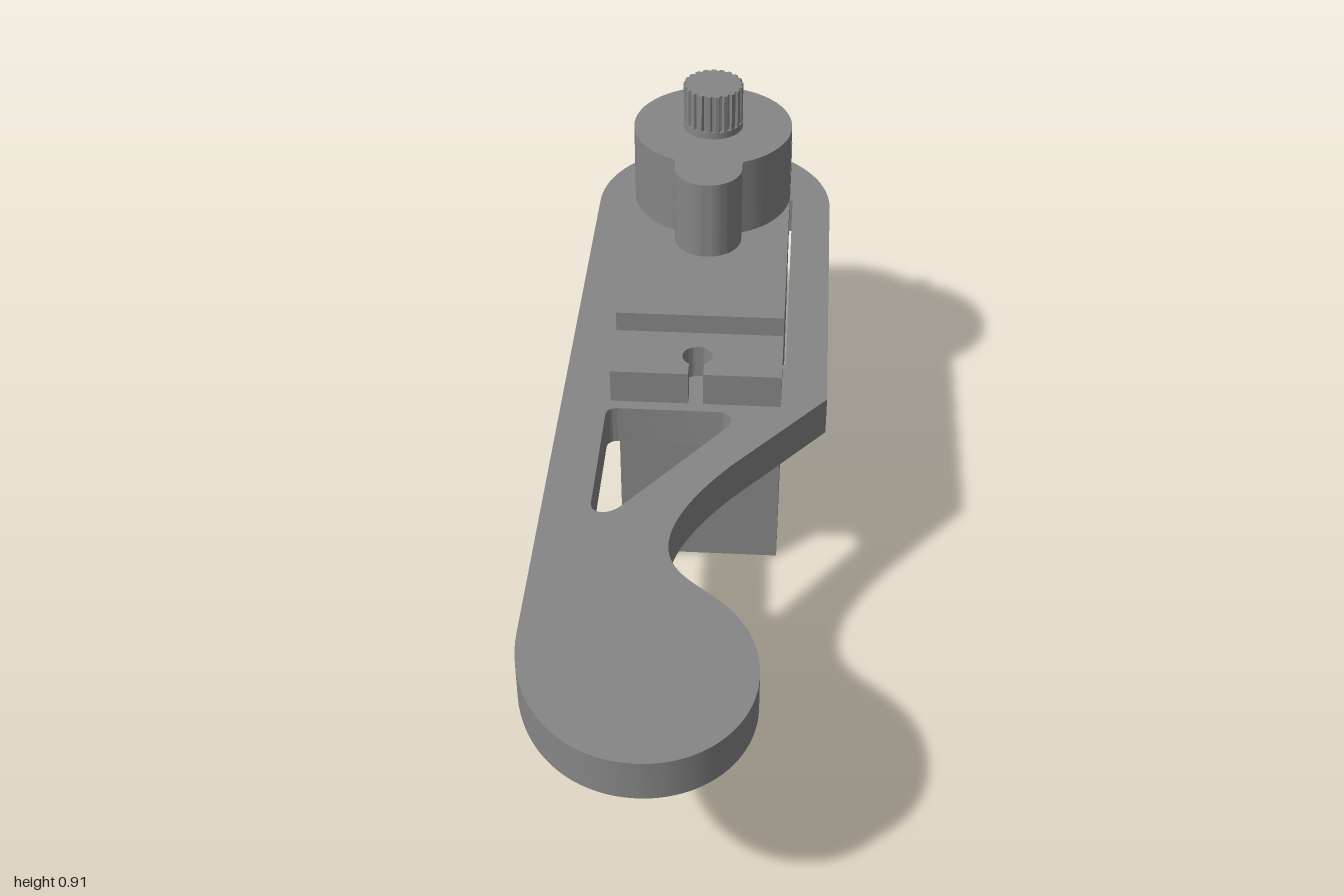
import * as THREE from 'three';
import { toCreasedNormals } from 'three/addons/utils/BufferGeometryUtils.js';

const material = new THREE.MeshStandardMaterial({ color: 0x868686 });

function addMesh(parent, name, geometry) {
  const mesh = new THREE.Mesh(geometry, material);
  mesh.name = name;
  parent.add(mesh);
  return mesh;
}

// Box given by its limits on each axis
function box(x0, x1, y0, y1, z0, z1) {
  return new THREE.BoxGeometry(x1 - x0, y1 - y0, z1 - z0)
    .translate((x0 + x1) / 2, (y0 + y1) / 2, (z0 + z1) / 2);
}

// Upright plate from an outline drawn in (x, z)
function plate(shape, y0, y1, crease = 0.5) {
  const g = new THREE.ExtrudeGeometry(shape, { depth: y1 - y0, bevelEnabled: false, curveSegments: 24 });
  g.rotateX(Math.PI / 2).translate(0, y1, 0);
  return toCreasedNormals(g, crease);
}

// Mounting arm: round back, straight left edge, narrow waist and bulb at the front
function armShape() {
  const s = new THREE.Shape();
  s.absarc(0, -0.692, 0.263, Math.PI, Math.PI * 2, false);
  s.lineTo(0.263, 0.03);
  s.lineTo(0.085, 0.245);
  s.bezierCurveTo(0.02, 0.33, -0.02, 0.41, -0.02, 0.475);
  s.bezierCurveTo(-0.02, 0.56, 0.055, 0.585, 0.1, 0.64);
  s.bezierCurveTo(0.138, 0.685, 0.157, 0.735, 0.157, 0.795);
  s.bezierCurveTo(0.157, 0.91, 0.075, 1, -0.035, 1);
  s.bezierCurveTo(-0.17, 1, -0.263, 0.87, -0.263, 0.72);
  s.closePath();

  // Cutout for the motor case with a rounded cable notch at the back
  const cut = new THREE.Path();
  cut.moveTo(-0.167, -0.08);
  cut.lineTo(0.178, -0.08);
  cut.lineTo(0.178, -0.717);
  cut.lineTo(0.065, -0.717);
  cut.bezierCurveTo(0.065, -0.75, 0.05, -0.772, 0.025, -0.772);
  cut.lineTo(-0.025, -0.772);
  cut.bezierCurveTo(-0.05, -0.772, -0.065, -0.75, -0.065, -0.717);
  cut.lineTo(-0.167, -0.717);
  cut.closePath();

  // Rounded triangular window
  const tri = new THREE.Path();
  tri.moveTo(-0.148, 0.084);
  tri.lineTo(0.05, 0.084);
  tri.bezierCurveTo(0.074, 0.084, 0.082, 0.11, 0.07, 0.13);
  tri.lineTo(-0.113, 0.374);
  tri.bezierCurveTo(-0.137, 0.407, -0.172, 0.402, -0.172, 0.372);
  tri.lineTo(-0.172, 0.108);
  tri.quadraticCurveTo(-0.172, 0.084, -0.148, 0.084);

  s.holes.push(cut, tri);
  return s;
}

// Screw tab with a keyhole slot open to its outer edge (+z)
function tabShape() {
  const w = 0.169, d = 0.142, slot = 0.015, r = 0.03, zc = d - 0.062;
  const a = Math.asin(slot / r);
  const s = new THREE.Shape();
  s.moveTo(-w, 0);
  s.lineTo(w, 0);
  s.lineTo(w, d);
  s.lineTo(slot, d);
  s.absarc(0, zc, r, Math.PI / 2 - a, Math.PI / 2 + a, true);
  s.lineTo(-slot, d);
  s.lineTo(-w, d);
  s.closePath();
  return s;
}

// Gear housing: large round joined to a small round in front of it
function housingShape() {
  const R = 0.169, r = 0.07, a = Math.asin(r / R);
  const s = new THREE.Shape();
  s.absarc(0, -0.547, R, Math.PI / 2 + a, Math.PI * 2.5 - a, false);
  s.absarc(0, -0.365, r, 0, Math.PI, false);
  s.closePath();
  return s;
}

// Output shaft with shallow teeth
function splineShape() {
  const teeth = 21, s = new THREE.Shape();
  for (let i = 0; i < teeth; i++) {
    [[0, 0.058], [0.25, 0.058], [0.4, 0.063], [0.85, 0.063]].forEach(([f, r], k) => {
      const t = ((i + f) / teeth) * Math.PI * 2;
      const x = Math.cos(t) * r, z = Math.sin(t) * r;
      if (i + k === 0) s.moveTo(x, z);
      else s.lineTo(x, z);
    });
  }
  s.closePath();
  return s;
}

export function createModel() {
  const model = new THREE.Group();
  model.name = 'servoWithArm';

  addMesh(model, 'mountingArm', plate(armShape(), 0.44, 0.523));

  const servo = new THREE.Group();
  servo.name = 'servo';
  servo.position.x = 0.003;
  model.add(servo);

  addMesh(servo, 'motorCase', box(-0.169, 0.169, 0, 0.638, -0.715, -0.08));
  addMesh(servo, 'cable', box(-0.057, 0.055, 0.1, 0.144, -1, -0.715));

  // Front and back screw tabs
  const tab = plate(tabShape(), 0.523, 0.595);
  addMesh(servo, 'frontTab', tab).position.z = -0.082;
  const backTab = addMesh(servo, 'backTab', tab);
  backTab.rotation.y = Math.PI;
  backTab.position.z = -0.714;

  addMesh(servo, 'gearHousing', plate(housingShape(), 0.638, 0.81));
  addMesh(servo, 'shaftCollar', new THREE.CylinderGeometry(0.064, 0.064, 0.015, 40).translate(0, 0.8175, -0.547));
  addMesh(servo, 'outputShaft', plate(splineShape(), 0.825, 0.908, 0.2)).position.z = -0.547;

  return model;
}
